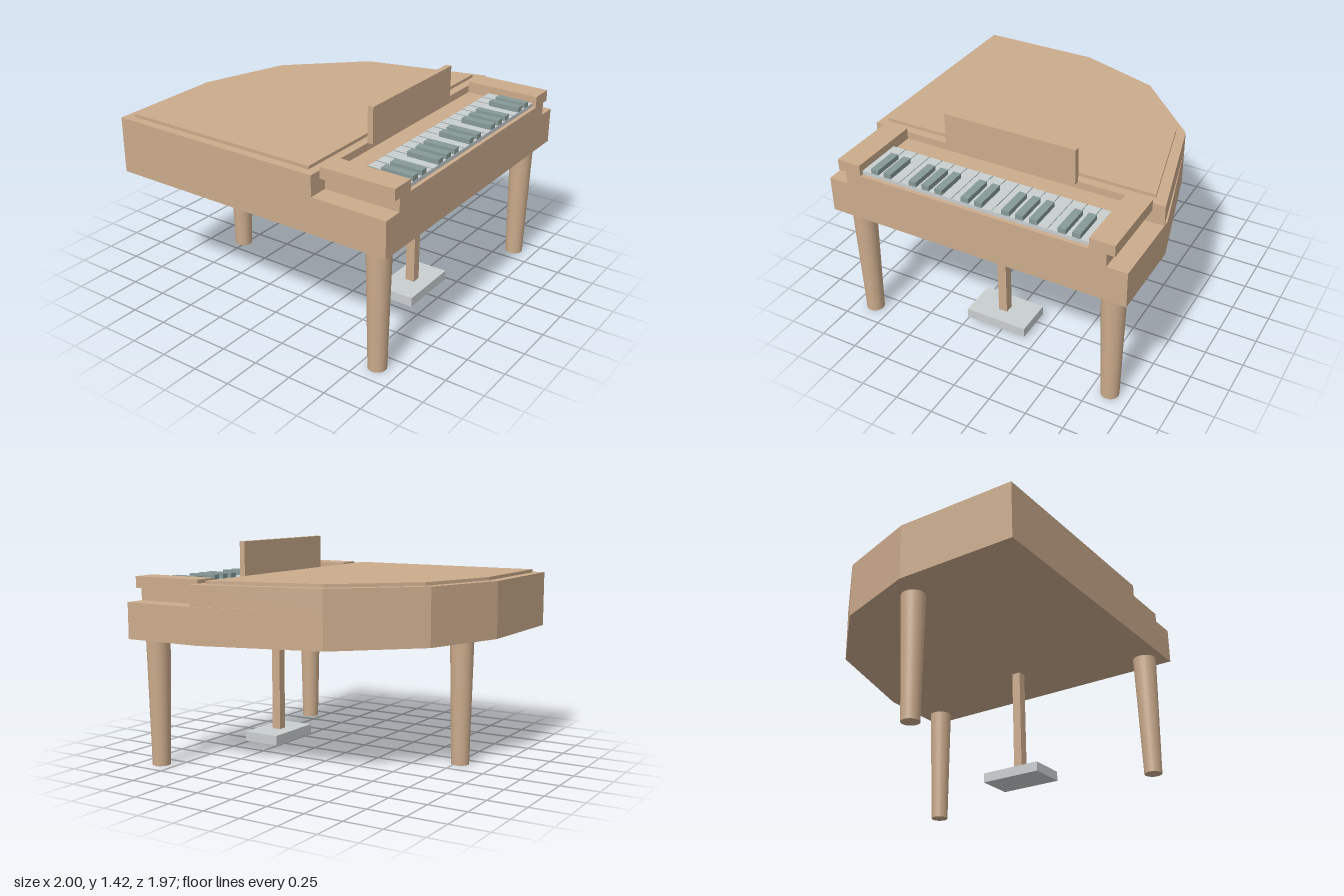
import * as THREE from 'three';

export function createModel() {
  const group = new THREE.Group();
  const material = (name, color) => {
    const m = new THREE.MeshStandardMaterial({ color });
    m.name = name;
    return m;
  };
  const wood = material('wood', 0xcbab8c);
  const silver = material('pale grey', 0xc9cecf);
  const dark = material('dark key', 0x879a98);

  const add = (name, geometry, mat) => {
    const mesh = new THREE.Mesh(geometry, mat);
    mesh.name = name;
    group.add(mesh);
    return mesh;
  };
  // Box from its extents on each axis
  const box = (name, mat, [x0, x1], [y0, y1], [z0, z1]) =>
    add(name, new THREE.BoxGeometry(x1 - x0, y1 - y0, z1 - z0), mat)
      .position.set((x0 + x1) / 2, (y0 + y1) / 2, (z0 + z1) / 2);
  // Upright slab from an outline of [x, z] points
  const slab = (name, points, y0, y1) => {
    const shape = new THREE.Shape(points.map(([x, z]) => new THREE.Vector2(x, -z)));
    const g = new THREE.ExtrudeGeometry(shape, { depth: y1 - y0, bevelEnabled: false });
    add(name, g.rotateX(-Math.PI / 2), wood).position.y = y0;
  };

  // Case: full-length lower body, raised rear body and inset lid
  const curve = [[0.79, -0.33], [0.34, -0.8], [-0.21, -0.985], [-1, -0.985]];
  slab('lowerBody', [[-1, 0.985], [1, 0.985], [1, 0.44], ...curve], 0.82, 1.053);
  slab('upperBody', [[-1, 0.487], [1, 0.487], ...curve], 1.053, 1.186);
  slab('lid', [[-0.945, 0.43], [0.915, 0.43], [0.735, -0.305], [0.315, -0.75],
    [-0.22, -0.92], [-0.945, -0.92]], 1.186, 1.207);

  // Key bed, arms and music stand
  box('keyBed', wood, [-0.87, 0.87], [1.053, 1.137], [0.487, 0.985]);
  box('rightArm', wood, [-0.92, -0.762], [1.137, 1.21], [0.487, 0.985]);
  box('leftArm', wood, [0.762, 0.92], [1.137, 1.21], [0.487, 0.985]);
  box('musicStand', wood, [-0.447, 0.445], [1.186, 1.42], [0.487, 0.525]);

  // Keyboard: pale keys, thin dividers and dark keys
  box('paleKeys', silver, [-0.762, 0.762], [1.137, 1.162], [0.64, 0.96]);
  const count = 17, step = 1.524 / count;
  const plain = [3, 7, 10, 14];
  for (let i = 1; i < count; i++) {
    const x = -0.762 + i * step;
    box('keyDivider', dark, [x - 0.002, x + 0.002], [1.16, 1.164], [0.64, 0.958]);
    if (!plain.includes(i)) {
      box('darkKey', dark, [x - 0.025, x + 0.025], [1.16, 1.194], [0.75, 0.959]);
    }
  }

  // Tapered legs
  for (const [name, x, z] of [['frontRightLeg', -0.868, 0.857], ['frontLeftLeg', 0.868, 0.857],
    ['rearLeg', -0.148, -0.775]]) {
    add(name, new THREE.CylinderGeometry(0.077, 0.058, 0.82, 32), wood).position.set(x, 0.41, z);
  }

  // Pedal post and pedal block
  box('pedalPost', wood, [-0.06, 0], [0.09, 0.825], [0.537, 0.6]);
  box('pedalBlock', silver, [-0.24, 0.182], [0.032, 0.096], [0.44, 0.697]);

  return group;
}
